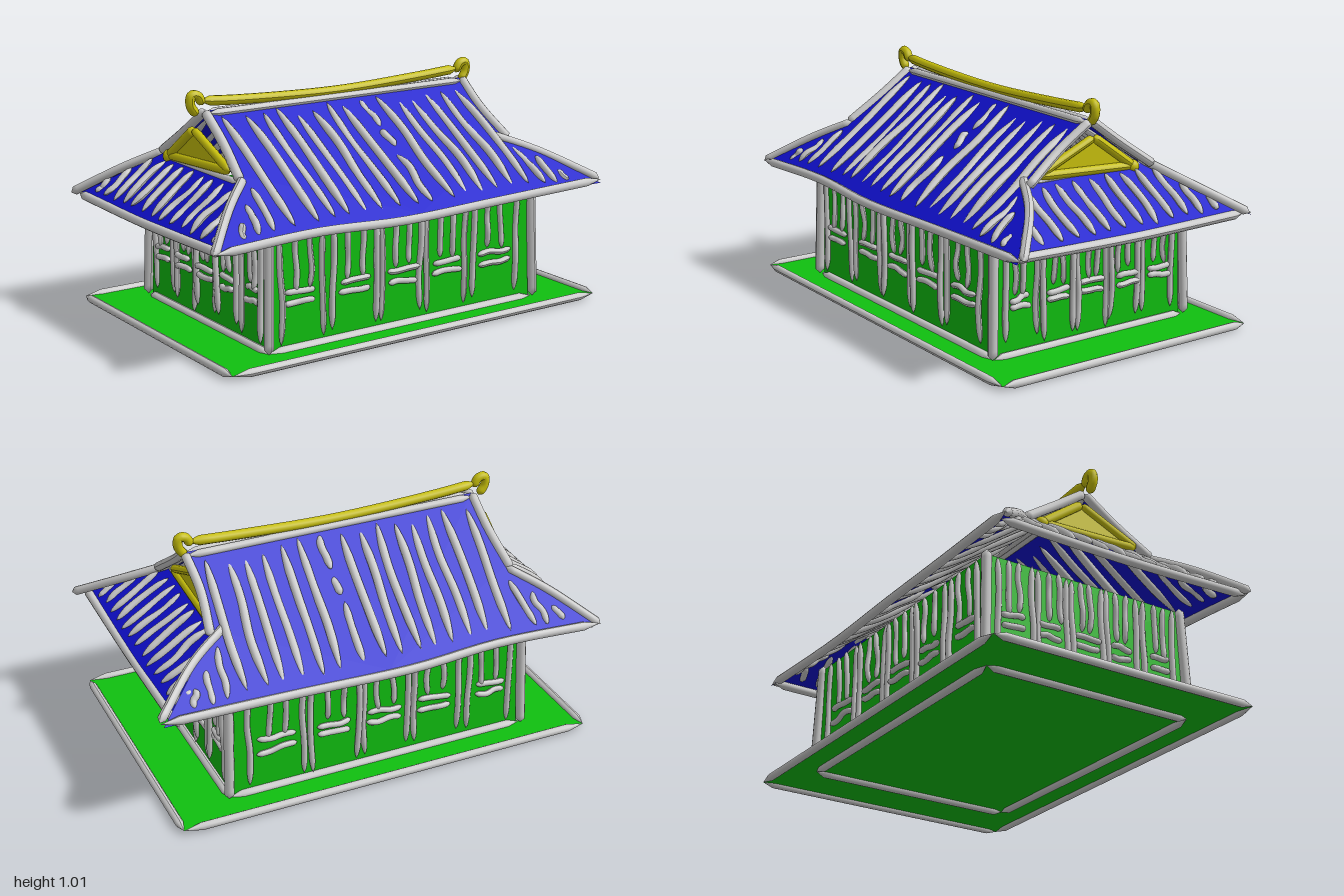
import * as THREE from 'three';

const mat = (color, side = THREE.FrontSide) => new THREE.MeshStandardMaterial({ color, side });

export function createModel() {
  const model = new THREE.Group();
  const grey = mat(0xcccccc);
  const yellow = mat(0xc8c00c);
  const greenSheet = mat(0x10c010, THREE.DoubleSide);
  const blueSheet = mat(0x1010d0, THREE.DoubleSide);
  const yellowSheet = mat(0xc8c00c, THREE.DoubleSide);

  let seed = 7;
  const rnd = () => {
    seed = (seed * 16807) % 2147483647;
    return seed / 2147483647 - 0.5;
  };
  const V = (p) => new THREE.Vector3(...p);

  // Hand-drawn brush stroke: a tube with rounded ends; tip = length share of the end taper
  function stroke(name, pts, r, { tip = 0.02, wob = 0, material = grey, parent = model } = {}) {
    let path = pts.map(V);
    if (wob) {
      const [a, b] = path;
      path = [0, 0.33, 0.66, 1].map((t) => a.clone().lerp(b, t)
        .add(new THREE.Vector3(rnd() * wob, rnd() * wob, rnd() * wob)));
    }
    const curve = new THREE.CatmullRomCurve3(path, false, 'centripetal');
    const n = 24, sides = 10;
    const geo = new THREE.TubeGeometry(curve, n, r, sides, false);
    const pos = geo.attributes.position;
    const v = new THREE.Vector3();
    for (let i = 0; i <= n; i++) {
      const t = i / n;
      const c = curve.getPointAt(t);
      const s = Math.sqrt(Math.min(1, Math.min(t, 1 - t) / tip));
      for (let j = 0; j <= sides; j++) {
        const k = i * (sides + 1) + j;
        v.fromBufferAttribute(pos, k).sub(c).multiplyScalar(s).add(c);
        pos.setXYZ(k, v.x, v.y, v.z);
      }
    }
    geo.computeVertexNormals();
    const mesh = new THREE.Mesh(geo, material);
    mesh.name = name;
    parent.add(mesh);
  }

  // Flat sheet: fan of triangles around its first corner
  function sheet(name, corners, material) {
    const tri = [];
    for (let i = 1; i < corners.length - 1; i++) tri.push(...corners[0], ...corners[i], ...corners[i + 1]);
    const geo = new THREE.BufferGeometry();
    geo.setAttribute('position', new THREE.Float32BufferAttribute(tri, 3));
    geo.computeVertexNormals();
    const mesh = new THREE.Mesh(geo, material);
    mesh.name = name;
    model.add(mesh);
  }
  const group = (name) => {
    const g = new THREE.Group();
    g.name = name;
    model.add(g);
    return g;
  };

  // Ground plate with its rim, and sills under the walls
  const ring = (x, z, y) => [[-x, y, -z], [x, y, -z], [x, y, z], [-x, y, z]];
  const loop = (name, pts, r) => pts.forEach((p, i) => stroke(name, [p, pts[(i + 1) % 4]], r));
  const plate = ring(0.93, 0.62, 0.018);
  sheet('groundPlate', plate, greenSheet);
  loop('plateRim', plate, 0.017);
  loop('wallSill', ring(0.68, 0.485, 0.018), 0.02);

  // Walls, corner posts
  const WX = 0.67, WZ = 0.48, WH = 0.5;
  for (const s of [-1, 1]) {
    sheet('longWall', [[-WX, 0.02, s * WZ], [WX, 0.02, s * WZ], [WX, WH, s * WZ], [-WX, WH, s * WZ]], greenSheet);
    sheet('endWall', [[s * WX, 0.02, -WZ], [s * WX, 0.02, WZ], [s * WX, WH, WZ], [s * WX, WH, -WZ]], greenSheet);
    for (const t of [-1, 1]) {
      stroke('cornerPost', [[s * 0.685, 0.02, t * 0.495], [s * 0.67, 0.52, t * 0.48]], 0.021);
    }
  }

  // Wall lattice: long bars, short hanging bars and paired rails
  const lattice = (name, place, long, short, rails) => {
    const g = group(name);
    const opt = { wob: 0.012, parent: g, tip: 0.12 };
    long.forEach((u) => stroke('longBar', [place(u, 0.5), place(u, 0.06 + rnd() * 0.04)], 0.013, opt));
    short.forEach((u) => stroke('shortBar', [place(u, 0.5), place(u, 0.27 + rnd() * 0.03)], 0.012, opt));
    rails.forEach(([a, b]) => [0.255, 0.21].forEach((y) =>
      stroke('rail', [place(a, y), place(b, y + rnd() * 0.02)], 0.013, opt)));
  };
  const longX = [-0.62, -0.42, -0.37, -0.16, -0.13, 0.07, 0.1, 0.31, 0.35, 0.59];
  const shortX = [-0.55, -0.48, -0.3, -0.22, -0.06, 0.01, 0.17, 0.24, 0.43, 0.5];
  const railX = [[-0.6, -0.46], [-0.34, -0.18], [-0.1, 0.06], [0.13, 0.29], [0.38, 0.56]];
  const longZ = [-0.43, -0.27, -0.24, -0.1, -0.08, 0.07, 0.09, 0.24, 0.28, 0.43];
  const shortZ = [-0.38, -0.33, -0.19, -0.14, -0.03, 0.01, 0.14, 0.19, 0.34, 0.38];
  const railZ = [[-0.42, -0.3], [-0.25, -0.13], [-0.07, 0.06], [0.11, 0.22], [0.31, 0.41]];
  for (const s of [-1, 1]) {
    lattice('longWallLattice', (u, y) => [u, y, s * (WZ + 0.008)], longX, shortX, railX);
    lattice('endWallLattice', (u, y) => [s * (WX + 0.008), y, u], longZ, shortZ, railZ);
  }

  // Main roof slopes with verge bars, eaves and battens
  const slope = (z) => 0.92 - 0.7 * Math.abs(z);
  const ribs = [-0.6, -0.49, -0.41, -0.33, -0.25, -0.17, -0.09, -0.01, 0.18, 0.27, 0.35, 0.43, 0.51, 0.6];
  for (const s of [-1, 1]) {
    const P = (x, z, lift = 0) => [x, slope(z) + lift, s * z];
    sheet('roofSlope', [P(0, 0.58), P(0.98, 0.59), P(0.66, 0.3), P(0.66, 0),
      P(-0.67, 0), P(-0.69, 0.3), P(-0.97, 0.59)], blueSheet);
    stroke('eave', [[-0.99, 0.505, s * 0.6], [-0.5, 0.515, s * 0.58], [-0.1, 0.5, s * 0.59],
      [0.4, 0.505, s * 0.575], [0.99, 0.52, s * 0.58]], 0.019);
    stroke('ridgeBar', [P(-0.67, 0.015), P(0.66, 0.015)], 0.017);
    stroke('verge', [P(-0.67, 0), P(-0.675, 0.15), P(-0.7, 0.32)], 0.02);
    stroke('verge', [P(0.66, 0), P(0.65, 0.15), P(0.675, 0.32)], 0.02);
    stroke('hip', [P(-0.68, 0.31), P(-0.82, 0.43, 0.005), P(-0.99, 0.6)], 0.019);
    stroke('hip', [P(0.6, 0.29), P(0.78, 0.39, -0.005), P(0.99, 0.57)], 0.019);
    const g = group('roofBattens');
    const opt = { wob: 0.018, tip: 0.2, parent: g };
    ribs.forEach((x) => stroke('batten', [P(x - 0.015, 0.05 + rnd() * 0.03), P(x + 0.015, 0.54)], 0.019, opt));
    [[0.04, 0.18], [0.2, 0.27], [0.31, 0.54]].forEach(([a, b]) =>
      stroke('brokenBatten', [P(0.08, a), P(0.09, b)], 0.017, opt));
    for (const t of [-1, 1]) {
      [0.67, 0.74, 0.81].forEach((x, i) =>
        stroke('hipBatten', [P(t * x, 0.36 + i * 0.065), P(t * (x + 0.02), 0.55)], 0.015, opt));
    }
  }

  // Lower end roofs under the gables: [top x, top y, eave x, eave y]
  for (const [tx, ty, ex, ey] of [[-0.7, 0.69, -0.95, 0.5], [0.62, 0.7, 0.92, 0.51]]) {
    sheet('endRoof', [[tx, ty, -0.31], [tx, ty, 0.31], [ex, ey, 0.58], [ex, ey, -0.58]], blueSheet);
    stroke('endEave', [[ex, ey - 0.01, -0.6], [ex, ey - 0.015, 0], [ex, ey, 0.6]], 0.019);
    stroke('endRoofTopBar', [[tx, ty - 0.01, -0.3], [tx, ty - 0.005, 0.31]], 0.015);
    const g = group('endRoofBattens');
    for (let i = 0; i < 13; i++) {
      const z = (i - 6) * 0.08;
      const start = Math.max(0.1, (Math.abs(z) - 0.28) / 0.3);
      const at = (t) => [tx + (ex - tx) * t, ty + (ey - ty) * t + 0.003, z];
      stroke('batten', [at(start), at(0.92)], 0.016, { wob: 0.015, tip: 0.2, parent: g });
    }
  }

  // Gable triangles with their frames and a knob
  for (const x of [-0.7, 0.63]) {
    const o = Math.sign(x) * 0.005;
    const low = [x, 0.72, 0.24], top = [x, 0.84, -0.04], end = [x + o, 0.695, -0.24];
    const opt = { material: yellow, tip: 0.05 };
    sheet('gable', [low, end, top], yellowSheet);
    stroke('gableRafter', [low, top], 0.018, opt);
    stroke('gableRafter', [top, end], 0.02, opt);
    stroke('gableTie', [low, end], 0.019, opt);
    const knob = new THREE.Mesh(new THREE.SphereGeometry(0.028, 16, 12), yellow);
    knob.position.set(x + o, 0.692, -0.24);
    knob.name = 'gableKnob';
    model.add(knob);
  }

  // Ridge pole and curled ridge ends
  const gold = { material: yellow };
  stroke('ridgePole', [[-0.7, 0.965, 0], [-0.5, 0.95, 0], [-0.02, 0.935, 0], [0.4, 0.95, 0], [0.65, 0.965, 0]], 0.021, gold);
  for (const [x, s] of [[-0.7, -1], [0.65, 1]]) {
    stroke('ridgeEnd', [[x - s * 0.02, 0.945, 0], [x, 0.985, 0], [x + s * 0.03, 0.99, 0],
      [x + s * 0.035, 0.95, 0], [x + s * 0.005, 0.905, 0]], 0.02, { ...gold, tip: 0.1 });
  }
  return model;
}
